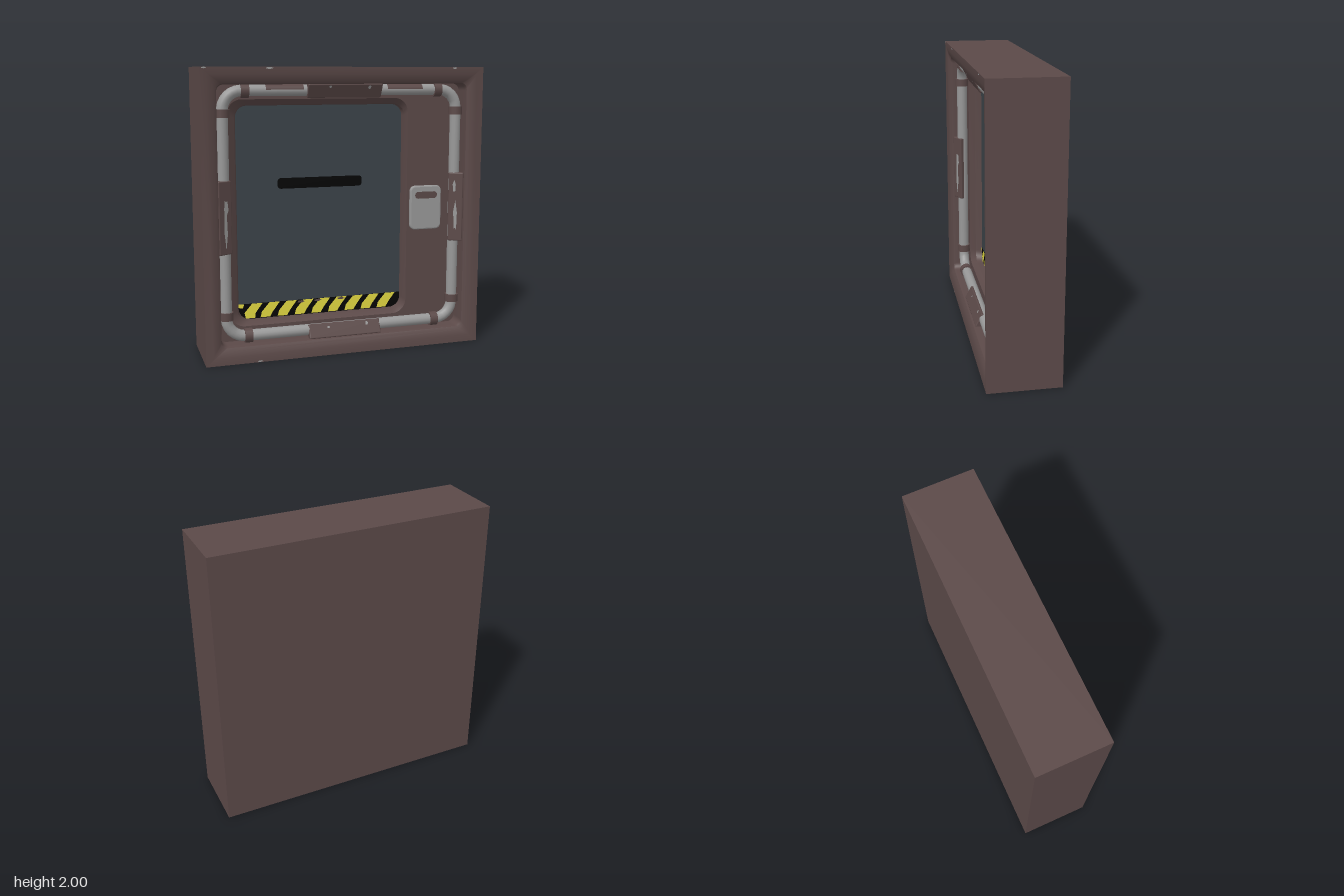
import * as THREE from 'three';
import { toCreasedNormals } from 'three/addons/utils/BufferGeometryUtils.js';
import { RoundedBoxGeometry } from 'three/addons/geometries/RoundedBoxGeometry.js';

const mat = (name, color) => {
  const m = new THREE.MeshStandardMaterial({ color });
  m.name = name;
  return m;
};

// Counter-clockwise rounded rectangle as points
function roundRect(x0, x1, y0, y1, r, n = 8) {
  const pts = [];
  const centres = [[x1 - r, y1 - r], [x0 + r, y1 - r], [x0 + r, y0 + r], [x1 - r, y0 + r]];
  centres.forEach(([cx, cy], k) => {
    for (let i = 0; i <= n; i++) {
      const a = (k + i / n) * Math.PI / 2;
      pts.push(new THREE.Vector2(cx + r * Math.cos(a), cy + r * Math.sin(a)));
    }
  });
  return pts;
}

// Skin between successive loops, each { pts, z }, listed from back/outside to inside
function loft(loops, crease = 0.5) {
  const pos = [], index = [], n = loops[0].pts.length;
  loops.forEach(({ pts, z }) => pts.forEach(p => pos.push(p.x, p.y, z)));
  for (let k = 0; k < loops.length - 1; k++) {
    for (let i = 0; i < n; i++) {
      const j = (i + 1) % n, a = k * n + i, b = k * n + j;
      index.push(a, b, b + n, a, b + n, a + n);
    }
  }
  const g = new THREE.BufferGeometry();
  g.setAttribute('position', new THREE.Float32BufferAttribute(pos, 3));
  g.setIndex(index);
  return toCreasedNormals(g.toNonIndexed(), crease);
}

export function createModel() {
  const brown = mat('brown paint', 0x5b4948);
  const slate = mat('slate door', 0x3b4349);
  const steel = mat('bare steel', 0x989898);
  const black = mat('black', 0x050505);
  const yellow = mat('hazard yellow', 0xe2d842);

  const model = new THREE.Group();
  model.name = 'wallHatch';
  const add = (name, geo, material, x = 0, y = 0, z = 0, parent = model) => {
    const m = new THREE.Mesh(geo, material);
    m.name = name;
    m.position.set(x, y, z);
    parent.add(m);
    return m;
  };
  const flat = (name, pts, material, z, parent) =>
    add(name, new THREE.ShapeGeometry(new THREE.Shape(pts)), material, 0, 0, z, parent);
  const points = list => list.map(p => new THREE.Vector2(...p));

  // Ragged flake of chipped paint
  const rag = [1, 0.8, 1, 0.75, 0.95, 0.7, 1, 0.85, 0.9, 0.75];
  const chip = (x, y, w, h, z, material, parent) => flat('paintChip', rag.map((r, i) =>
    new THREE.Vector2(x + r * w / 2 * Math.cos(i * Math.PI / 5),
      y + r * h / 2 * Math.sin(i * Math.PI / 5))), material, z, parent);

  // Outer casing with a gently rounded lip and a sharp drop to the recess
  const ring = (h, r, z) => ({ pts: roundRect(-h, h, 1 - h, 1 + h, r), z });
  add('casing', loft([
    ring(1, 0, -0.25), ring(1, 0, 0.25), ring(0.95, 0.01, 0.246), ring(0.91, 0.03, 0.235),
    ring(0.89, 0.045, 0.22), ring(0.885, 0.05, 0.2), ring(0.885, 0.05, 0.095),
  ]), brown);
  add('backPanel', new THREE.PlaneGeometry(2, 2), brown, 0, 1, -0.25).rotation.y = Math.PI;

  // Recessed wall, then a sloped rim dropping straight down to the door
  const wallZ = 0.095, doorZ = 0.005;
  const opening = roundRect(-0.8, 0.495, 0.215, 1.785, 0.1);
  const wall = new THREE.Shape(roundRect(-0.885, 0.885, 0.115, 1.885, 0.05));
  wall.holes.push(new THREE.Path(opening));
  add('recessWall', new THREE.ShapeGeometry(wall), brown, 0, 0, wallZ);
  const doorPts = roundRect(-0.73, 0.48, 0.24, 1.74, 0.08);
  add('doorSurround', loft([
    { pts: opening, z: wallZ },
    { pts: roundRect(-0.745, 0.482, 0.237, 1.745, 0.085), z: 0.055 },
    { pts: doorPts, z: doorZ },
  ]), brown);

  // Door with dark viewing slot
  flat('door', doorPts, slate, doorZ);
  flat('viewSlot', roundRect(-0.44, 0.18, 1.16, 1.235, 0.025), black, doorZ + 0.004);

  // Hazard band along the foot of the door
  const band = [...points([[0.48, 0.35], [-0.73, 0.35]]), ...doorPts.slice(18)];
  flat('hazardBand', band, black, doorZ + 0.003);
  for (let i = 0; i < 9; i++) {
    const x = -0.7 + i * 0.125;
    const b = Math.max(x, -0.68);
    flat('hazardStripe', points([[b, 0.245], [b + 0.07, 0.245], [x + 0.09, 0.28],
      [x + 0.142, 0.35], [x + 0.066, 0.35], [x + 0.01, 0.285]]), yellow, doorZ + 0.006);
  }
  flat('hazardStripeEnd', points([[-0.73, 0.325], [-0.7, 0.32], [-0.69, 0.35], [-0.73, 0.35]]),
    yellow, doorZ + 0.006);

  // Steel pipe running around the recess
  const pipeZ = 0.142;
  const path = roundRect(-0.84, 0.84, 0.165, 1.845, 0.13, 10);
  const pipe = new THREE.CurvePath();
  path.forEach((p, i) => {
    const q = path[(i + 1) % path.length];
    pipe.add(new THREE.LineCurve3(new THREE.Vector3(p.x, p.y, 0), new THREE.Vector3(q.x, q.y, 0)));
  });
  add('pipe', new THREE.TubeGeometry(pipe, 200, 0.039, 14, true), steel, 0, 0, pipeZ);

  // Collars near each corner of the pipe
  const collar = new THREE.CylinderGeometry(0.05, 0.05, 0.055, 16);
  for (const s of [-1, 1]) {
    for (const t of [-1, 1]) {
      add('pipeCollar', collar, brown, s * 0.84, 1.005 + t * 0.69, pipeZ);
      add('pipeCollar', collar, brown, t * 0.69, 1.005 + s * 0.84, pipeZ).rotation.z = Math.PI / 2;
    }
  }

  // Tilted cover plate on each side, leaning in from the lip, with chips x, y, width, height
  const cover = (angle, width, chips) => {
    const side = new THREE.Group();
    side.name = 'pipeCover';
    side.position.y = 1;
    side.rotation.z = angle;
    const plate = new THREE.Group();
    plate.name = 'coverPlate';
    plate.position.set(0, -0.837, 0.187);
    plate.rotation.x = -0.48;
    add('plate', new RoundedBoxGeometry(width, 0.106, 0.05, 2, 0.008), brown, 0, 0, -0.025, plate);
    chips.forEach(([x, y, w, h]) => chip(x, y, w, h, 0.002, steel, plate));
    side.add(plate);
    model.add(side);
  };
  cover(0, 0.53, [[-0.12, 0.02, 0.022, 0.02], [0.165, 0.025, 0.025, 0.03]]);
  cover(Math.PI, 0.53, [[0.11, -0.035, 0.022, 0.02], [-0.17, -0.03, 0.025, 0.03]]);
  cover(-Math.PI / 2, 0.5, [[0.06, 0, 0.32, 0.03], [-0.07, 0.005, 0.12, 0.04]]);
  cover(Math.PI / 2, 0.5, [[-0.07, 0, 0.24, 0.03], [0.15, 0.01, 0.1, 0.025]]);

  // Control panel with a worn dark label
  const panel = new THREE.Shape(roundRect(0.525, 0.745, 0.845, 1.145, 0.03));
  add('controlPanel', new THREE.ExtrudeGeometry(panel, {
    depth: 0.016, bevelThickness: 0.008, bevelSize: 0.01, bevelSegments: 2,
  }), steel, 0, 0, wallZ);
  flat('panelLabel', roundRect(0.55, 0.72, 1.062, 1.112, 0.024), brown, wallZ + 0.027);

  // Chips on the lip, and worn spots along the hazard band
  chip(-0.54, 1.991, 0.06, 0.014, 0.252, steel);
  chip(0.78, 1.993, 0.04, 0.012, 0.252, steel);
  chip(-0.97, 1.993, 0.04, 0.012, 0.252, steel);
  chip(-0.63, 0.008, 0.04, 0.012, 0.252, steel);
  for (const x of [-0.28, -0.155, 0.02]) chip(x, 0.338, 0.06, 0.02, doorZ + 0.009, brown);

  // Paint left on the upper pipe
  const shell = new THREE.CylinderGeometry(0.0405, 0.0405, 0.26, 10, 1, true, 0.1, 1.3);
  for (const x of [-0.42, 0.44]) {
    add('pipePaint', shell, brown, x, 1.845, pipeZ).rotation.z = Math.PI / 2;
  }
  return model;
}
